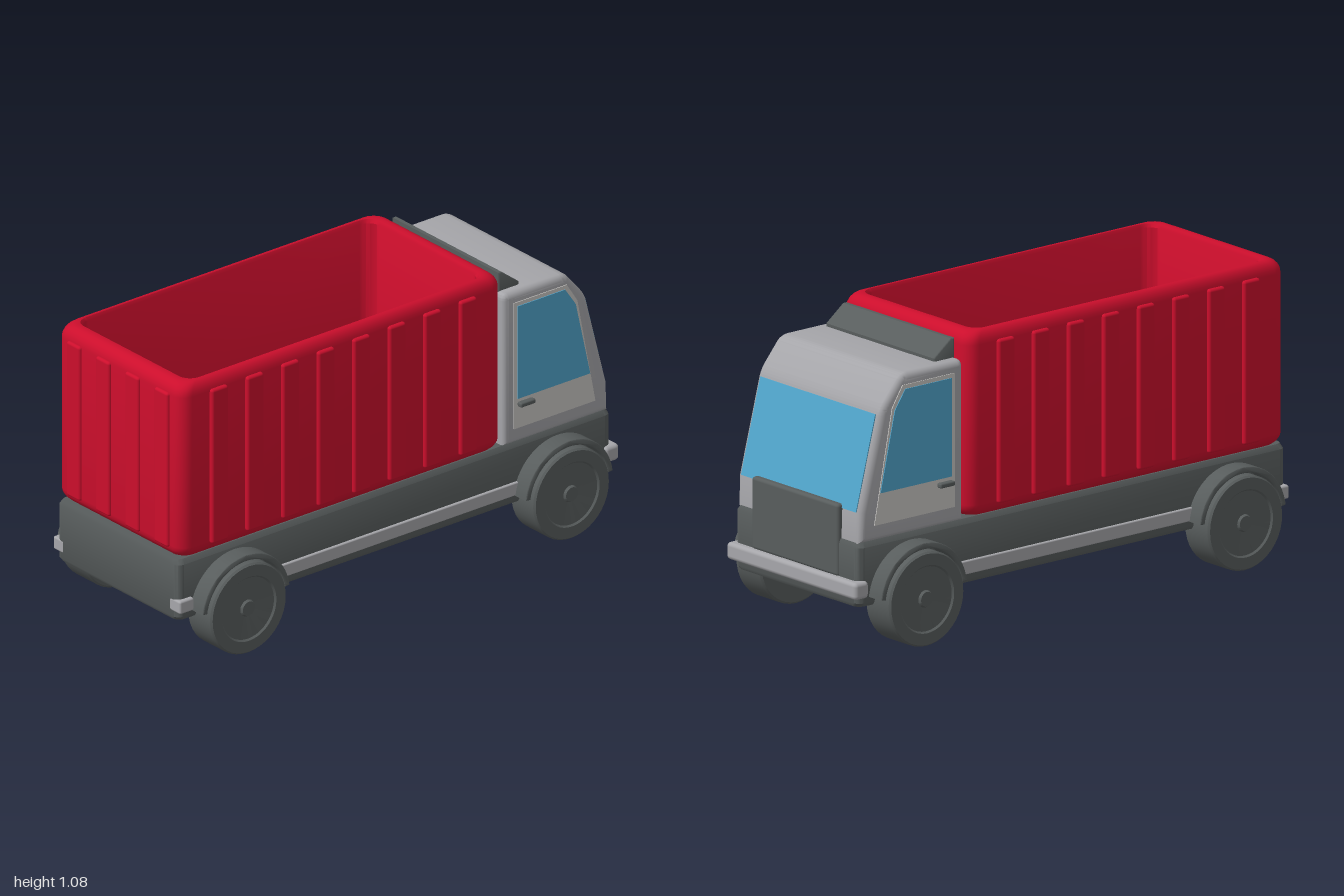
import * as THREE from 'three';
import { toCreasedNormals } from 'three/addons/utils/BufferGeometryUtils.js';
import { RoundedBoxGeometry } from 'three/addons/geometries/RoundedBoxGeometry.js';

const paint = (name, color) => {
  const m = new THREE.MeshStandardMaterial({ color });
  m.name = name;
  return m;
};

// Rounded rectangle loops [insetX, insetZ, y] joined into one smooth hull
function loopHull(hx, hz, zc, corner, loops) {
  const pos = [], idx = [], seg = 6, n = 4 * (seg + 1);
  for (const [ix, iz, y] of loops) {
    const w = hx - ix, d = hz - iz, r = Math.min(corner, w, d);
    for (let q = 0; q < 4; q++) {
      const sx = q === 0 || q === 3 ? 1 : -1, sz = q < 2 ? 1 : -1;
      for (let i = 0; i <= seg; i++) {
        const a = (q + i / seg) * Math.PI / 2;
        pos.push(sx * (w - r) + r * Math.cos(a), y, zc + sz * (d - r) + r * Math.sin(a));
      }
    }
  }
  for (let k = 0; k < loops.length - 1; k++) {
    for (let i = 0; i < n; i++) {
      const a = k * n + i, b = k * n + (i + 1) % n, c = a + n, d = b + n;
      idx.push(a, c, b, b, c, d);
    }
  }
  const g = new THREE.BufferGeometry();
  g.setAttribute('position', new THREE.Float32BufferAttribute(pos, 3));
  g.setIndex(idx);
  return toCreasedNormals(g, 0.6);
}

// Side profile (forward, up) extruded across the truck from x0 to x1
function across(shape, x0, x1, bevel = 0) {
  const g = new THREE.ExtrudeGeometry(shape, {
    depth: x1 - x0 - 2 * bevel, bevelEnabled: bevel > 0, bevelSize: bevel,
    bevelThickness: bevel, bevelOffset: -bevel, bevelSegments: 4, curveSegments: 16,
  });
  g.translate(0, 0, x0 + bevel).rotateY(Math.PI / 2);
  return toCreasedNormals(g, 0.6);
}
const poly = (pts) => new THREE.Shape(pts.map(([f, y]) => new THREE.Vector2(f, y)));

export function createModel() {
  const truck = new THREE.Group();
  truck.name = 'truck';
  const red = paint('containerRed', 0xcc0e2c);
  const dark = paint('darkGrey', 0x585d5d);
  const grey = paint('cabGrey', 0xa6a6aa);
  const pale = paint('doorGrey', 0xcac8c5);
  const glass = paint('windowBlue', 0x51a6cd);

  const add = (name, geo, mat) => {
    const m = new THREE.Mesh(geo, mat);
    m.name = name;
    truck.add(m);
    return m;
  };
  // Rounded box given by its limits
  const block = (name, mat, x0, x1, y0, y1, z0, z1, r) => {
    const g = new RoundedBoxGeometry(x1 - x0, y1 - y0, z1 - z0, 2, r);
    g.translate((x0 + x1) / 2, (y0 + y1) / 2, (z0 + z1) / 2);
    return add(name, g, mat);
  };

  // Chassis
  add('chassis', loopHull(0.337, 0.987, 0.012, 0.03, [
    [0.337, 0.987, 0.16], [0.025, 0.025, 0.16], [0.008, 0.008, 0.166], [0, 0, 0.18],
    [0, 0, 0.382], [0.012, 0.006, 0.4], [0.337, 0.987, 0.4]]), dark);

  // Open container: rounded outside, rolled rim, inner walls and floor
  const hx = 0.347, hz = 0.7325, loops = [[hx, hz, 0.395]];
  for (let i = 0; i <= 5; i++) {
    const a = i / 5 * Math.PI / 2, s = 0.05 * (1 - Math.sin(a));
    loops.push([s, s, 0.445 - 0.05 * Math.cos(a)]);
  }
  for (let i = 0; i <= 5; i++) {
    const a = i / 5 * Math.PI / 2, s = 1 - Math.cos(a);
    loops.push([0.03 * s, 0.045 * s, 1.03 + 0.05 * Math.sin(a)]);
  }
  loops.push([0.033, 0.058, 1.078], [0.038, 0.066, 1.065], [0.038, 0.066, 0.44], [hx, hz, 0.44]);
  add('container', loopHull(hx, hz, 0.2575, 0.05, loops), red);

  // Container ribs
  for (let i = 0; i < 8; i++) {
    const z = 0.823 - i * 0.1615;
    for (const s of [-1, 1]) {
      block('sideRib', red, s * 0.346 - 0.015, s * 0.346 + 0.015, 0.435, 1.035, z - 0.038, z + 0.038, 0.01);
    }
  }
  for (let i = 0; i < 4; i++) {
    const x = (i - 1.5) * 0.162;
    block('rearRib', red, x - 0.038, x + 0.038, 0.435, 1.035, 0.97, 1.0, 0.01);
  }

  // Cab shell
  const cab = new THREE.Shape();
  cab.moveTo(0.485, 0.395);
  cab.lineTo(0.965, 0.395);
  cab.lineTo(0.961, 0.51);
  cab.lineTo(0.872, 0.85);
  cab.quadraticCurveTo(0.865, 0.875, 0.845, 0.9);
  cab.lineTo(0.79, 0.965);
  cab.quadraticCurveTo(0.772, 0.987, 0.74, 0.987);
  cab.lineTo(0.51, 0.987);
  cab.quadraticCurveTo(0.485, 0.987, 0.485, 0.96);
  add('cab', across(cab, -0.335, 0.335, 0.025), grey);

  // Windscreen
  add('windscreen', across(poly([[0.955, 0.51], [0.964, 0.51], [0.875, 0.852], [0.866, 0.852]]), -0.312, 0.312), glass);

  // Grille and roof air deflector
  block('grille', dark, -0.235, 0.235, 0.26, 0.525, -0.982, -0.92, 0.012);
  add('airDeflector', across(poly([[0.495, 0.975], [0.588, 0.975], [0.588, 0.998], [0.51, 1.058], [0.495, 1.058]]), -0.295, 0.295, 0.006), dark);

  // Doors, side windows and handles
  const door = poly([[0.53, 0.455], [0.9, 0.455], [0.818, 0.87], [0.77, 0.945], [0.53, 0.945]]);
  const pane = poly([[0.545, 0.57], [0.874, 0.57], [0.808, 0.86], [0.76, 0.93], [0.545, 0.93]]);
  for (const s of [-1, 1]) {
    const plate = (name, shape, out, mat) =>
      add(name, across(shape, s * out - 0.003, s * out + 0.003), mat);
    plate('door', door, 0.335, pale);
    plate('sideWindow', pane, 0.338, glass);
    block('doorHandle', dark, s * 0.348 - 0.012, s * 0.348 + 0.012, 0.54, 0.558, -0.612, -0.545, 0.006);

    // Side trim and rear bumper corners
    block('sideTrim', grey, s * 0.335 - 0.012, s * 0.335 + 0.012, 0.2, 0.25, -0.58, 0.6, 0.005);
    block('rearBumperCorner', grey, s * 0.322 - 0.03, s * 0.322 + 0.03, 0.2, 0.25, 0.935, 1.0, 0.008);
  }
  block('frontBumper', grey, -0.352, 0.352, 0.2, 0.263, -1.0, -0.935, 0.015);

  // Wheels and mudguards
  const tyre = [[0, -0.0675], [0.165, -0.0675], [0.172, -0.06], [0.172, 0.06], [0.166, 0.0675],
    [0.124, 0.0675], [0.118, 0.061], [0.032, 0.057], [0.027, 0.066], [0, 0.066]];
  const wheelGeo = toCreasedNormals(new THREE.LatheGeometry(
    tyre.map(([r, h]) => new THREE.Vector2(r, h)), 40), 0.4);
  const guard = new THREE.Shape();
  guard.absarc(0, 0, 0.2, 0.13, Math.PI - 0.13, false);
  guard.absarc(0, 0, 0.177, Math.PI - 0.13, 0.13, true);
  for (const z of [0.742, -0.727]) {
    for (const s of [-1, 1]) {
      const wheel = add('wheel', wheelGeo, dark);
      wheel.rotation.z = -s * Math.PI / 2;
      wheel.position.set(s * 0.353, 0.172, z);
      const m = add('mudguard', across(guard, s * 0.355 - 0.05, s * 0.355 + 0.05, 0.005), dark);
      m.position.set(0, 0.174, z);
    }
  }
  return truck;
}
